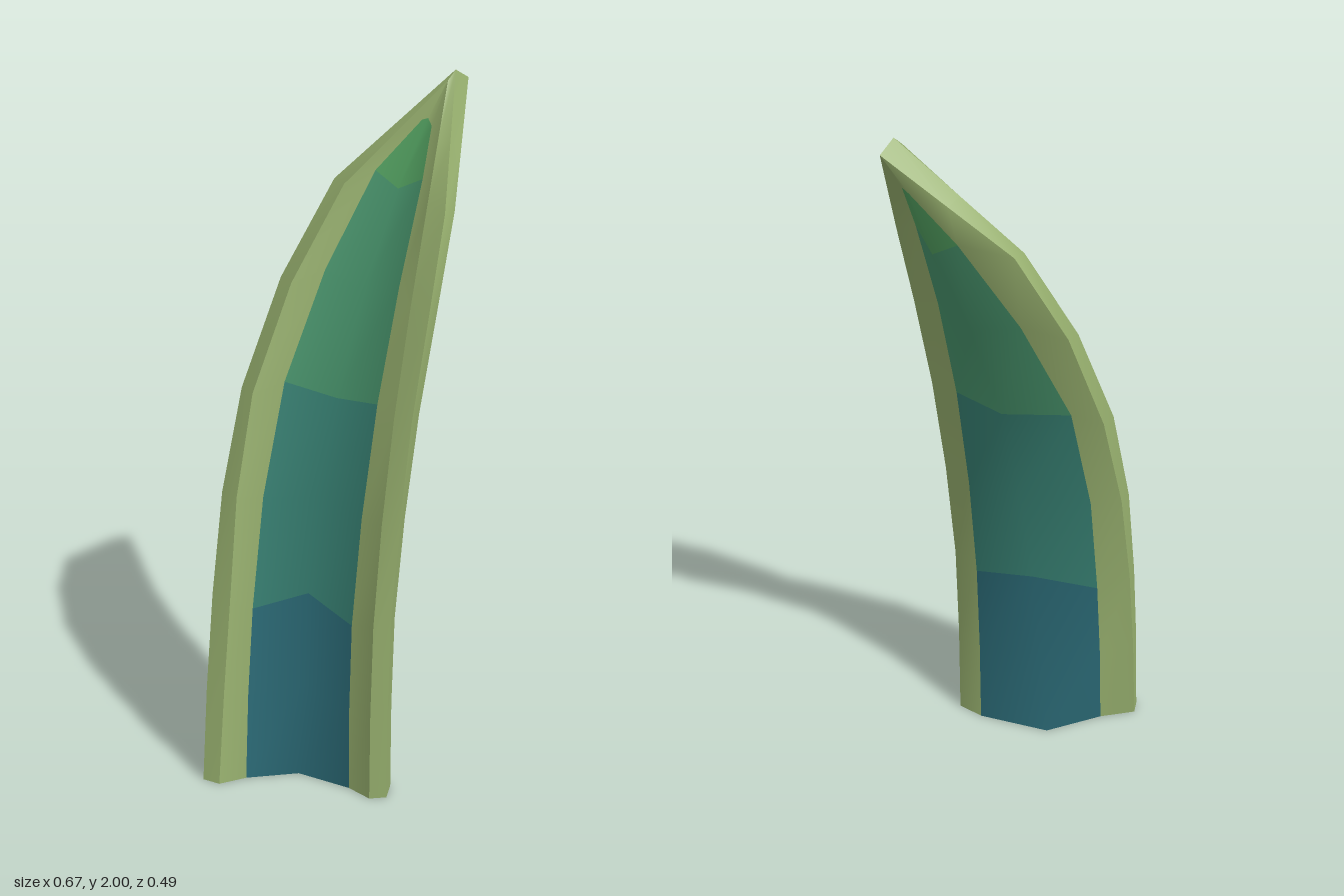
import * as THREE from 'three';

const V = (p) => new THREE.Vector3(...p);
const TIP_IN = [0.287, 1.975, -0.178], TIP_TOP = [0.305, 2, -0.2], TIP_BACK = [0.335, 1.97, -0.243];
const LAST = 8; // number of sections along the blade

// Samples a lengthwise rail through five points; the last section before the
// tip is given, or lies halfway along a straight line to it
function rail(points, tip, end) {
  const pts = [...points, tip].map(V);
  const curve = new THREE.CatmullRomCurve3(pts);
  const last = end ? V(end) : pts[3].clone().lerp(pts[4], 0.5);
  return Array.from({ length: LAST + 1 }, (_, k) => (k === LAST - 1 ? last : curve.getPoint(k / LAST)));
}

// Loft over neighbouring rails; pick(column, row) gives the material index
function loft(rails, pick, materials, name) {
  const pos = [], index = [], geo = new THREE.BufferGeometry();
  const rows = LAST + 1;
  rails.forEach((r) => r.forEach((p) => pos.push(p.x, p.y, p.z)));
  for (let c = 0; c < rails.length - 1; c++) {
    for (let k = 0; k < LAST; k++) {
      const a = c * rows + k, b = a + rows;
      geo.addGroup(index.length, 6, pick(c, k));
      index.push(a, b, b + 1, a, b + 1, a + 1);
    }
  }
  geo.setAttribute('position', new THREE.Float32BufferAttribute(pos, 3));
  geo.setIndex(index);
  geo.computeVertexNormals();
  const mesh = new THREE.Mesh(geo, materials);
  mesh.name = name;
  return mesh;
}

export function createModel() {
  const group = new THREE.Group();
  group.name = 'curvedLeaf';
  const mat = (name, color) => {
    const m = new THREE.MeshStandardMaterial({ color, side: THREE.DoubleSide });
    m.name = name;
    return m;
  };
  const materials = [
    mat('rimOlive', 0x98b16f),
    mat('baseBlue', 0x2c6c78),
    mat('middleTeal', 0x388274),
    mat('upperGreen', 0x48946c),
    mat('tipGreen', 0x52a060),
  ];

  // Rim rails, -x side (A) and +x side (B)
  const outerA = rail([[-0.335, 0, 0.21], [-0.317, 0.55, 0.113], [-0.25, 1.13, -0.02], [-0.018, 1.69, -0.187]], TIP_TOP);
  const ridgeA = rail([[-0.285, 0, 0.227], [-0.261, 0.55, 0.14], [-0.212, 1.13, 0.02], [0.016, 1.69, -0.138]], TIP_IN);
  const rearA = rail([[-0.33, 0, 0.165], [-0.305, 0.55, 0.077], [-0.225, 1.13, -0.065], [0.005, 1.69, -0.22]], TIP_BACK);
  const outerB = rail([[0.197, 0, 0.222], [0.205, 0.55, 0.232], [0.248, 1.14, 0.182], [0.308, 1.67, 0.025]], TIP_TOP);
  const ridgeB = rail([[0.15, 0, 0.236], [0.158, 0.55, 0.239], [0.198, 1.14, 0.16], [0.258, 1.69, -0.018]], TIP_IN);
  const rearB = rail([[0.2, 0, 0.16], [0.208, 0.55, 0.172], [0.26, 1.14, 0.122], [0.33, 1.67, -0.01]], TIP_BACK);

  // Front channel rails
  const innerA = rail([[-0.215, 0, 0.183], [-0.2, 0.52, 0.125], [-0.127, 1.16, -0.005], [0.1, 1.73, -0.148]],
    TIP_IN, [0.222, 1.87, -0.165]);
  const middle = rail([[-0.07, 0, 0.135], [-0.045, 0.57, 0.103], [0.022, 1.13, 0.017], [0.165, 1.69, -0.12]],
    TIP_IN, [0.238, 1.875, -0.163]);
  const innerB = rail([[0.085, 0, 0.19], [0.09, 0.52, 0.182], [0.147, 1.16, 0.117], [0.235, 1.73, -0.085]],
    TIP_IN, [0.25, 1.86, -0.143]);

  // Back face rails
  const backA = rail([[-0.228, 0, 0.134], [-0.213, 0.52, 0.052], [-0.137, 1.16, -0.075], [0.147, 1.73, -0.238]],
    TIP_BACK, [0.268, 1.86, -0.222]);
  const spine = rail([[-0.07, 0, 0.053], [-0.027, 0.57, 0.025], [0.052, 1.14, -0.045], [0.219, 1.67, -0.168]],
    TIP_BACK, [0.28, 1.865, -0.21]);
  const backB = rail([[0.133, 0, 0.113], [0.14, 0.53, 0.105], [0.185, 1.15, 0.052], [0.27, 1.71, -0.082]],
    TIP_BACK, [0.29, 1.86, -0.185]);

  // Outer columns and the very tip are rim; the channel changes colour every two sections
  const banded = (c, k) => (c === 0 || c === 3 || k === LAST - 1 ? 0 : 1 + Math.floor(k / 2));
  const rim = () => 0;
  group.add(
    loft([ridgeA, innerA, middle, innerB, ridgeB], banded, materials, 'frontChannel'),
    loft([rearB, backB, spine, backA, rearA], banded, materials, 'backFace'),
    loft([outerA, ridgeA], rim, materials, 'rightRimFront'),
    loft([rearA, outerA], rim, materials, 'rightRimSide'),
    loft([ridgeB, outerB], rim, materials, 'leftRimFront'),
    loft([outerB, rearB], rim, materials, 'leftRimSide'),
  );
  return group;
}
